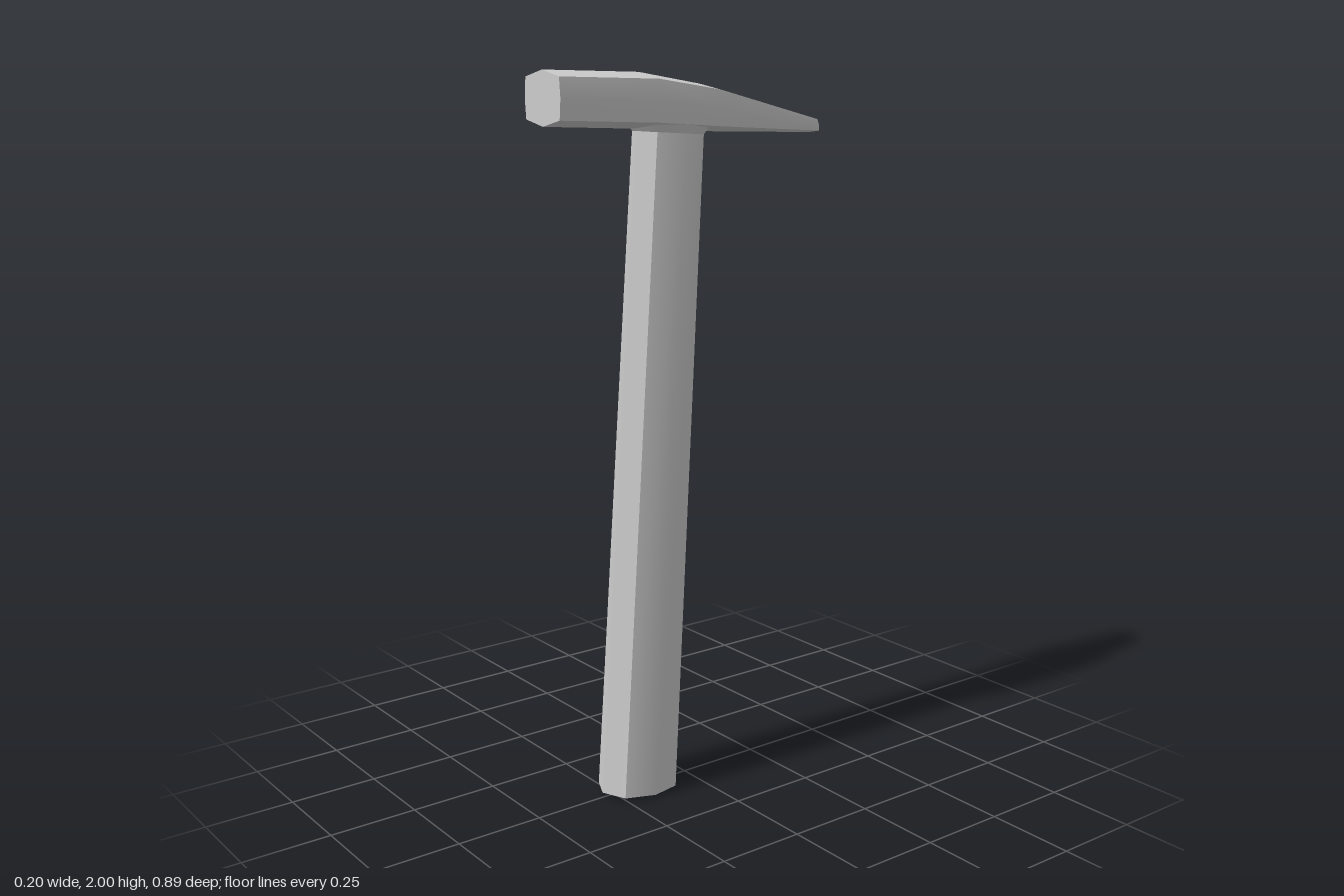
import * as THREE from 'three';
import { toCreasedNormals } from 'three/addons/utils/BufferGeometryUtils.js';

const material = new THREE.MeshStandardMaterial({ color: 0xcccccc });

// Eight points of a unit bulged-sided octagon, counter-clockwise; (cu, cv) are the corner fractions
function octagon(cu, cv) {
  return [[1, 0], [cu, cv], [0, 1], [-cu, cv], [-1, 0], [-cu, -cv], [0, -1], [cu, -cv]];
}

// Skin a list of rings (counter-clockwise seen from the last ring's end) and cap both ends
function loft(rings) {
  const n = rings[0].length;
  const positions = rings.flat(2);
  const index = [];
  for (let i = 0; i < rings.length - 1; i++) {
    for (let j = 0; j < n; j++) {
      const a = i * n + j, b = i * n + (j + 1) % n;
      index.push(a, b, b + n, a, b + n, a + n);
    }
  }
  const last = (rings.length - 1) * n;
  for (let j = 1; j < n - 1; j++) {
    index.push(0, j + 1, j);
    index.push(last, last + j, last + j + 1);
  }
  const geometry = new THREE.BufferGeometry();
  geometry.setAttribute('position', new THREE.Float32BufferAttribute(positions, 3));
  geometry.setIndex(index);
  return toCreasedNormals(geometry.toNonIndexed(), 0.85);
}

function addPart(group, name, geometry) {
  const mesh = new THREE.Mesh(geometry, material);
  mesh.name = name;
  group.add(mesh);
}

export function createModel() {
  const group = new THREE.Group();
  group.name = 'hammer';

  // Head: [z, half width, bottom, top] from the narrow peen to the striking face
  const headSections = [
    [-0.44, 0.046, 1.83, 1.872],
    [-0.05, 0.098, 1.84, 1.965],
    [0.15, 0.098, 1.85, 1.995],
    [0.445, 0.083, 1.86, 2.0],
  ];
  const headProfile = octagon(0.94, 0.76);
  const head = headSections.map(([z, w, bottom, top], i) => headProfile.map(([u, v]) => [
    u * w,
    (top + bottom) / 2 + v * (top - bottom) / 2,
    i === 0 ? z + v * 0.005 : z, // peen tip leans back slightly
  ]));
  addPart(group, 'head', loft(head));

  // Handle: leaning, tapered shaft, [y, centre z, half depth, half width]
  const handleSections = [
    [0.007, 0.17, 0.12, 0.09],
    [1.87, 0.053, 0.104, 0.077],
  ];
  const handleProfile = octagon(0.73, 0.74);
  const handle = handleSections.map(([y, z, d, w]) => handleProfile.map(([u, v]) => [
    v * w, y + u * 0.007, z + u * d,
  ]));
  addPart(group, 'handle', loft(handle));

  // Collar: small flare where the shaft enters the head
  const collarSections = [
    [1.838, 0.055, 0.104, 0.078],
    [1.862, 0.055, 0.122, 0.09],
  ];
  const collar = collarSections.map(([y, z, d, w]) => handleProfile.map(([u, v]) => [
    v * w, y + u * 0.006, z + u * d,
  ]));
  addPart(group, 'collar', loft(collar));

  return group;
}
